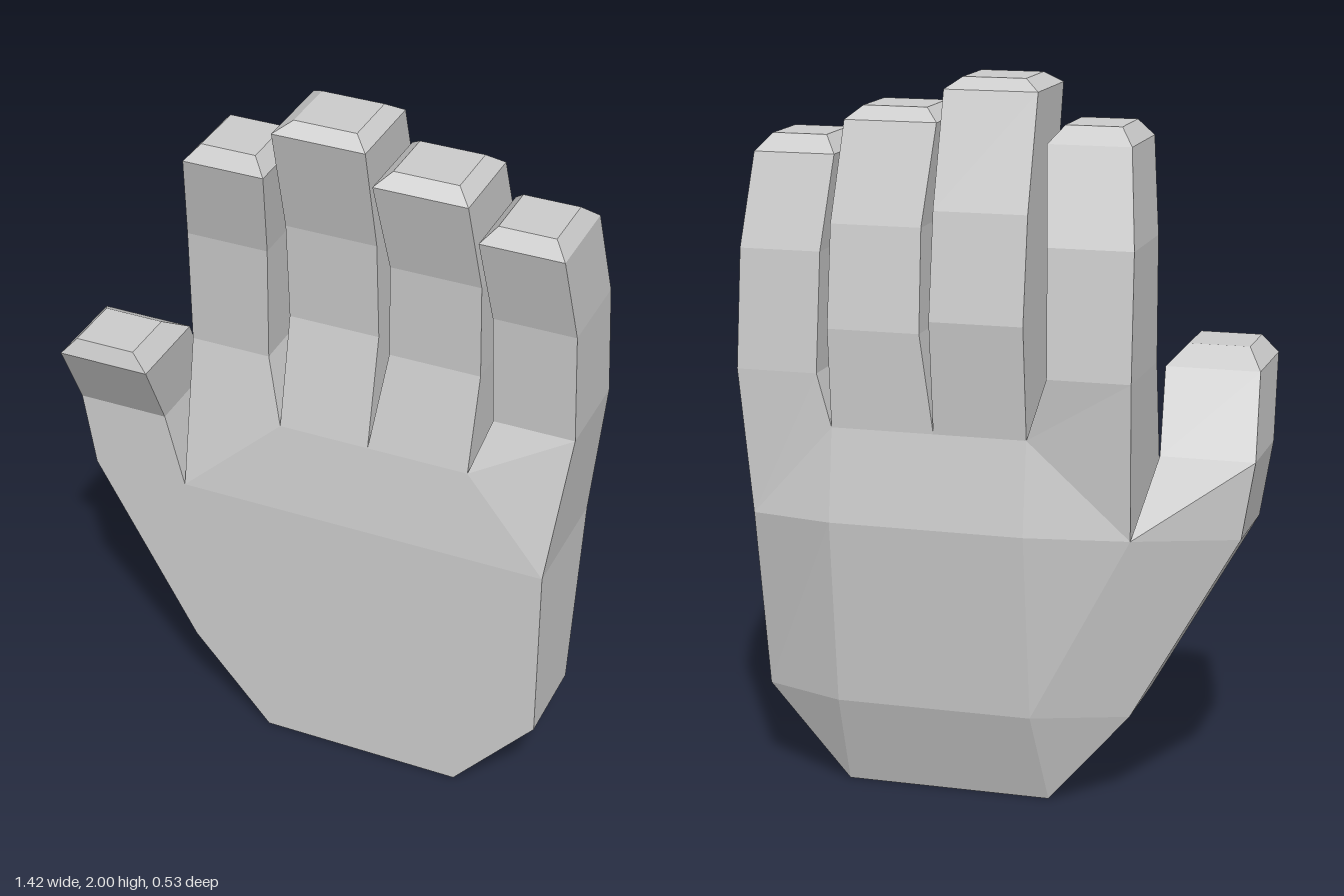
import * as THREE from 'three';

const material = new THREE.MeshStandardMaterial({ color: 0xcccccc, flatShading: true });

// Collects quads (corners counter-clockwise from outside) into a flat-shaded mesh.
function meshFromQuads(name, quads) {
  const positions = [];
  const same = (p, q) => p.every((v, i) => v === q[i]);
  const tri = (a, b, c) => {
    if (!same(a, b) && !same(b, c) && !same(a, c)) positions.push(...a, ...b, ...c);
  };
  for (const [a, b, c, d] of quads) {
    tri(a, b, c);
    tri(a, c, d);
  }
  const geometry = new THREE.BufferGeometry();
  geometry.setAttribute('position', new THREE.Float32BufferAttribute(positions, 3));
  geometry.computeVertexNormals();
  const mesh = new THREE.Mesh(geometry, material);
  mesh.name = name;
  return mesh;
}

// Rectangular cross-section at height y.
const ring = ([y, x0, x1, front, back]) =>
  [[x0, y, front], [x1, y, front], [x1, y, back], [x0, y, back]];

// Skins a digit from its base corners through its sections to a closed tip.
function digit(name, base, sections) {
  const rings = [base, ...sections.map(ring)];
  const quads = [rings[rings.length - 1]];
  for (let r = 0; r < rings.length - 1; r++) {
    for (let i = 0; i < 4; i++) {
      const j = (i + 1) % 4;
      quads.push([rings[r][i], rings[r][j], rings[r + 1][j], rings[r + 1][i]]);
    }
  }
  return meshFromQuads(name, quads);
}

export function createModel() {
  const hand = new THREE.Group();
  hand.name = 'hand';

  // Palm rows from wrist to knuckles; columns run between the fingers.
  const rows = [
    { x: [-0.15, -0.15, 0.15, 0.435, 0.435], y: [0, 0, 0, 0, 0],
      front: [0.14, 0.14, 0.14, 0.14, 0.14], back: [-0.12, -0.12, -0.12, -0.12, -0.12] },
    { x: [-0.38, -0.12, 0.15, 0.435, 0.67], y: [0.265, 0.265, 0.265, 0.265, 0.265],
      front: [0.14, 0.14, 0.14, 0.14, 0.14], back: [-0.12, -0.21, -0.21, -0.21, -0.12] },
    { x: [-0.4, -0.115, 0.145, 0.435, 0.67], y: [0.795, 0.795, 0.795, 0.795, 0.795],
      front: [0.14, 0.14, 0.14, 0.14, 0.14], back: [-0.22, -0.265, -0.265, -0.265, -0.22] },
    { x: [-0.4, -0.115, 0.145, 0.435, 0.67], y: [0.795, 1.055, 1.055, 1.055, 0.795],
      front: [0.14, 0.11, 0.11, 0.11, 0.14], back: [-0.22, -0.23, -0.23, -0.23, -0.22] },
  ];
  const F = rows.map(r => r.x.map((x, i) => [x, r.y[i], r.front[i]]));
  const B = rows.map(r => r.x.map((x, i) => [x, r.y[i], r.back[i]]));
  const thumbFront = [-0.68, 0.795, 0.14], thumbBack = [-0.68, 0.795, -0.12];

  const palm = [[F[0][0], B[0][0], B[0][4], F[0][4]]];
  for (let r = 0; r < 3; r++) {
    for (let i = 0; i < 4; i++) {
      palm.push([F[r][i], F[r][i + 1], F[r + 1][i + 1], F[r + 1][i]]);
      palm.push([B[r][i + 1], B[r][i], B[r + 1][i], B[r + 1][i + 1]]);
    }
  }
  for (let r = 0; r < 2; r++) palm.push([F[r][4], B[r][4], B[r + 1][4], F[r + 1][4]]);
  // Thumb side of the palm
  palm.push([B[0][0], F[0][0], F[1][0], B[1][0]]);
  palm.push([B[1][0], F[1][0], thumbFront, thumbBack]);
  palm.push([F[1][0], F[2][0], thumbFront, thumbFront]);
  palm.push([B[2][0], B[1][0], thumbBack, thumbBack]);
  hand.add(meshFromQuads('palm', palm));

  // Thumb, bending forward; sections are [y, x0, x1, front, back]
  hand.add(digit('thumb', [thumbFront, F[2][0], B[2][0], thumbBack], [
    [1.01, -0.715, -0.455, 0.14, -0.12],
    [1.23, -0.7, -0.44, 0.265, 0],
    [1.28, -0.655, -0.485, 0.25, 0.08],
  ]));

  // Four fingers, each with two joints and a bevelled tip
  const fingers = {
    indexFinger: [
      [1.23, -0.405, -0.175, 0.05, -0.25],
      [1.575, -0.4, -0.165, 0.07, -0.21],
      [1.835, -0.37, -0.14, 0.14, -0.12],
      [1.88, -0.33, -0.175, 0.11, -0.065],
    ],
    middleFinger: [
      [1.37, -0.115, 0.145, 0.04, -0.265],
      [1.66, -0.115, 0.145, 0.06, -0.22],
      [1.97, -0.115, 0.145, 0.14, -0.12],
      [2.0, -0.07, 0.105, 0.1, -0.075],
    ],
    ringFinger: [
      [1.33, 0.18, 0.44, 0.05, -0.24],
      [1.61, 0.185, 0.44, 0.065, -0.2],
      [1.88, 0.165, 0.425, 0.14, -0.12],
      [1.915, 0.205, 0.385, 0.1, -0.075],
    ],
    littleFinger: [
      [1.2, 0.48, 0.71, 0.05, -0.22],
      [1.53, 0.475, 0.705, 0.07, -0.19],
      [1.785, 0.455, 0.685, 0.14, -0.12],
      [1.83, 0.495, 0.65, 0.11, -0.065],
    ],
  };
  Object.entries(fingers).forEach(([name, sections], i) => {
    hand.add(digit(name, [F[3][i], F[3][i + 1], B[3][i + 1], B[3][i]], sections));
  });

  return hand;
}
